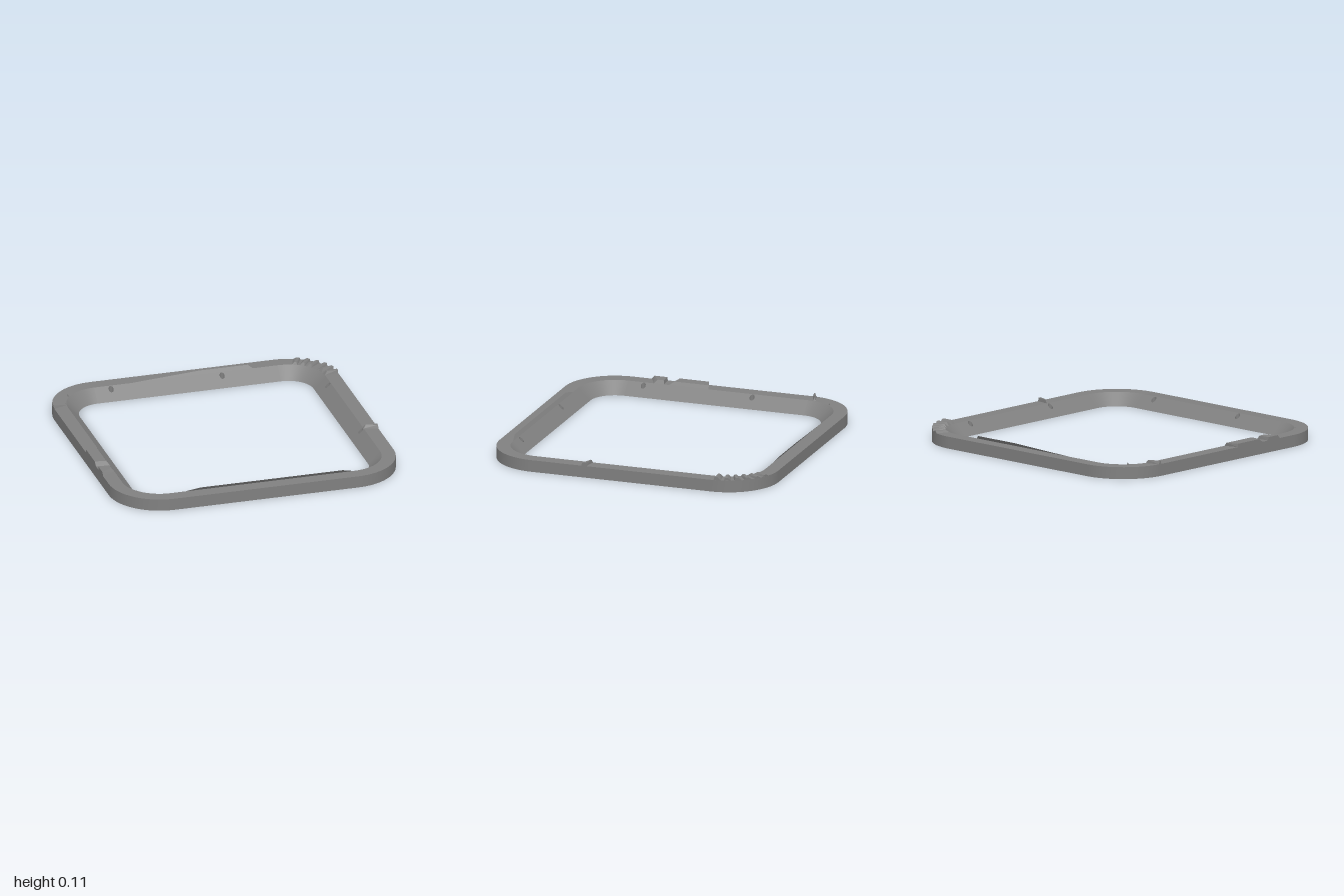
import * as THREE from 'three';
import { ConvexGeometry } from 'three/addons/geometries/ConvexGeometry.js';

const C = 0.645;                                   // corner arc centres
const OUT = 1, RIM = 0.905, LOW = 0.82, H = 0.082; // outer edge, bevel top, bevel foot, height
const PEAK = 0.105, CREST = 0.922;                 // raised details
const V = (x, y, z) => new THREE.Vector3(x, y, z);

// One rounded corner (k = 0..3) at distance d from the centre
function corner(k, d, y, n = 16) {
  const q = (k + 0.5) * Math.PI / 2;
  const cx = C * Math.sign(Math.cos(q)), cz = C * Math.sign(Math.sin(q));
  return Array.from({ length: n + 1 }, (_, i) => {
    const t = (k + i / n) * Math.PI / 2;
    return V(cx + (d - C) * Math.cos(t), y, cz + (d - C) * Math.sin(t));
  });
}
const loop = (d, y) => [0, 1, 2, 3].flatMap(k => corner(k, d, y));

// Surface between two rows of points
function strip(a, b, closed = false) {
  const n = a.length, idx = [];
  for (let i = 0; i < (closed ? n : n - 1); i++) {
    const j = (i + 1) % n;
    idx.push(i, n + i, j, n + i, n + j, j);
  }
  const g = new THREE.BufferGeometry().setFromPoints([...a, ...b]);
  g.setIndex(idx);
  g.computeVertexNormals();
  return g;
}

export function createModel() {
  const group = new THREE.Group();
  const grey = new THREE.MeshStandardMaterial({ color: 0x808080, side: THREE.DoubleSide });
  grey.name = 'grey';
  const add = (name, geo, parent = group) => {
    const m = new THREE.Mesh(geo, grey);
    m.name = name;
    parent.add(m);
    return m;
  };

  // Flat top and underside of the frame
  const ringFace = inner => {
    const pts = d => loop(d, 0).map(p => new THREE.Vector2(p.x, p.z));
    const s = new THREE.Shape(pts(OUT));
    s.holes.push(new THREE.Path(pts(inner)));
    return new THREE.ShapeGeometry(s);
  };
  add('topFace', ringFace(RIM).rotateX(-Math.PI / 2).translate(0, H, 0));
  add('underside', ringFace(LOW).rotateX(Math.PI / 2));
  add('outerWall', strip(loop(OUT, 0), loop(OUT, H), true));

  // Inner bevel: rounded corners and four straight panels with two peg holes each
  const bevelY = d => (d - LOW) / (RIM - LOW) * H;
  const holeR = 0.017, holeD = 0.886, floorY = 0.025;
  for (let k = 0; k < 4; k++) {
    add('bevelCorner', strip(corner(k, RIM, H), corner(k, LOW, 0)));
    const side = new THREE.Group();
    side.name = 'bevelSide';
    side.rotation.y = k * Math.PI / 2;
    group.add(side);

    const s = new THREE.Shape();
    s.moveTo(-C, LOW).lineTo(C, LOW).lineTo(C, RIM).lineTo(-C, RIM).closePath();
    for (const u of [0.25, -0.53]) {
      s.holes.push(new THREE.Path().absarc(u, holeD, holeR, 0, Math.PI * 2, true));
      const rim = [], foot = [];
      for (let i = 0; i < 20; i++) {
        const t = i * Math.PI / 10;
        const x = -u + holeR * Math.cos(t), z = holeD + holeR * Math.sin(t);
        rim.push(V(x, bevelY(z), z));
        foot.push(V(x, floorY, z));
      }
      add('holeWall', strip(rim, foot, true), side);
      add('holeFloor', new THREE.CircleGeometry(holeR, 20)
        .rotateX(-Math.PI / 2).translate(-u, floorY, holeD), side);
    }
    const panel = new THREE.ShapeGeometry(s, 10);
    const p = panel.attributes.position;
    for (let i = 0; i < p.count; i++) {
      const u = p.getX(i), d = p.getY(i);
      p.setXYZ(i, -u, bevelY(d), d);
    }
    panel.computeVertexNormals();
    add('bevelPanel', panel, side);
  }

  // Thin lips continuing the bevel upward at front and back; pairs of x and lift
  const lip = (name, s, profile) => {
    const base = profile.map(([x]) => V(x, H, s * RIM));
    const top = profile.map(([x, f]) => V(x, H + f * (PEAK - H), s * (RIM + f * (CREST - RIM))));
    if (s > 0) add(name, strip(base.reverse(), top.reverse()).scale(1, 1, 1));
    else add(name, strip(base, top));
  };
  lip('frontLip', 1, [[-0.54, 0], [-0.44, 1], [0.56, 1], [0.64, 0]]);
  lip('backLip', -1, [[-0.38, 0], [0.1, 1], [0.44, 1], [0.47, 0]]);

  // Raised lumps across the side rails: inner span, outer span, end slopes
  const lump = (name, s, [i0, i1], [o0, o1], t0, t1) => add(name, new ConvexGeometry([
    V(s * RIM, H, i0), V(s * RIM, H, i1), V(s * OUT, H, o0), V(s * OUT, H, o1),
    V(s * CREST, PEAK, i0 + t0), V(s * CREST, PEAK, i1 - t1),
    V(s * OUT, PEAK, o0 + t0), V(s * OUT, PEAK, o1 - t1),
  ]));
  lump('longLump', -1, [0.07, 0.35], [0.1, 0.34], 0.002, 0.03);
  lump('shortLump', -1, [0.39, 0.46], [0.395, 0.51], 0.005, 0.02);
  lump('rearRidge', -1, [-0.7, -0.68], [-0.67, -0.645], 0.008, 0.008);
  lump('rightRidge', 1, [0.235, 0.255], [0.25, 0.285], 0.005, 0.008);

  // Saw-toothed ridges round one rear corner
  for (let i = 0; i < 6; i++) {
    const a = 3 + i * 11.5, top = PEAK - i * 0.002;
    const at = (deg, d, y) => {
      const t = deg * Math.PI / 180;
      return V(C + (d - C) * Math.cos(t), y, -C - (d - C) * Math.sin(t));
    };
    add('cornerTooth', new ConvexGeometry([
      at(a, RIM, H), at(a + 8, RIM, H), at(a, OUT, H), at(a + 8, OUT, H),
      at(a + 2, CREST, top), at(a + 5, CREST, top), at(a + 1, OUT, top), at(a + 4, OUT, top),
    ]));
  }

  // Tiny burrs on the inner edge of the left corners
  for (const [z, h] of [[-0.82, 0.1], [0.81, 0.088]]) {
    add('burr', new ConvexGeometry([
      V(-0.86, 0.07, z), V(-0.84, 0.07, z), V(-0.85, 0.07, z + 0.02), V(-0.855, h, z),
    ]));
  }
  return group;
}
